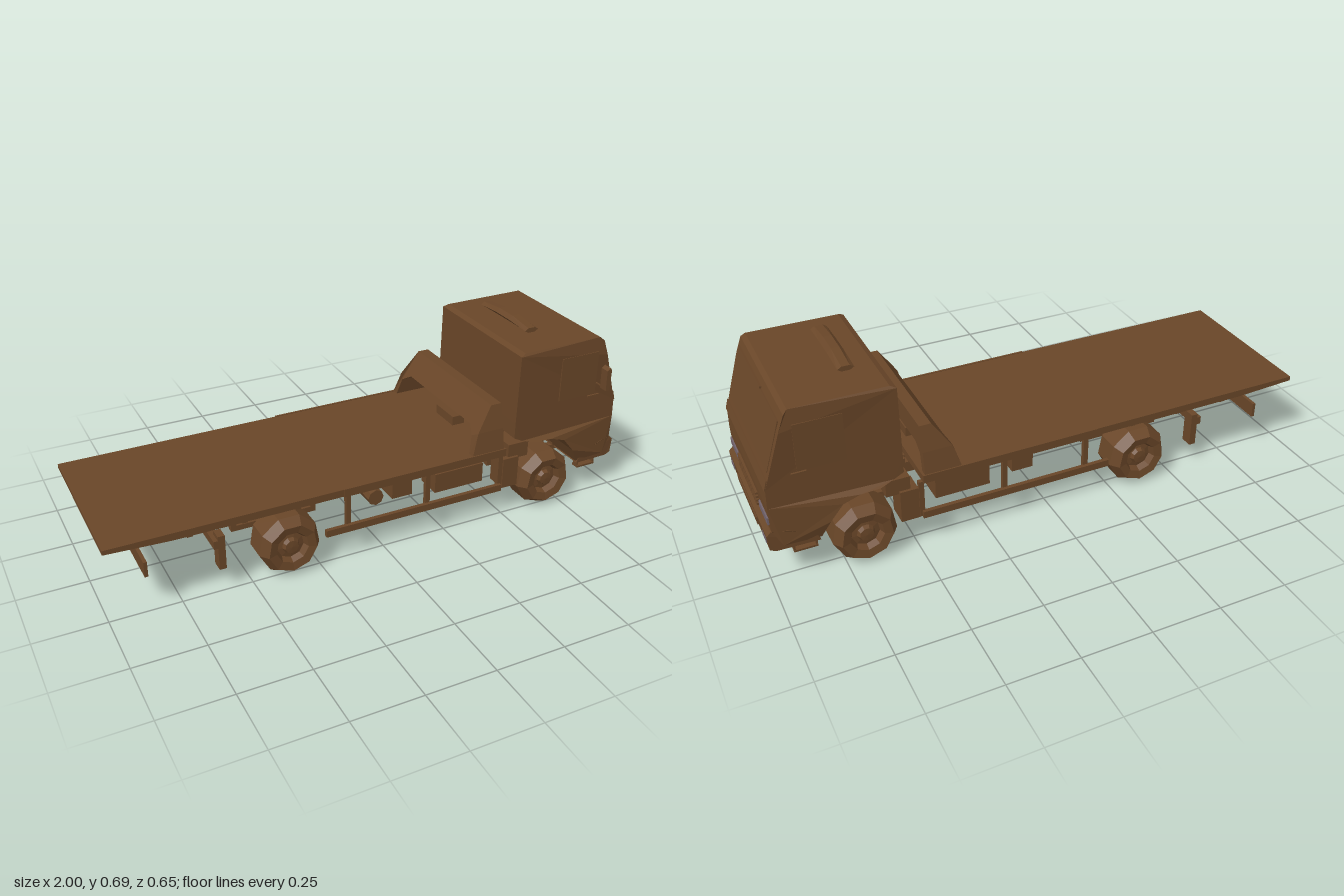
import * as THREE from 'three';

const mat = (name, color) => {
  const m = new THREE.MeshStandardMaterial({ color, flatShading: true });
  m.name = name;
  return m;
};

export function createModel() {
  const brown = mat('brown paint', 0x694628);
  const lampGrey = mat('lamp grey', 0x71636c);
  const root = new THREE.Group();
  root.name = 'flatbedTruck';
  const truck = new THREE.Group();
  truck.name = 'truckBody';
  truck.position.z = -0.02;
  root.add(truck);

  const add = (name, geo, m = brown) => {
    const mesh = new THREE.Mesh(geo, m);
    mesh.name = name;
    truck.add(mesh);
    return mesh;
  };
  // Box given by its limits on each axis
  const box = (name, x1, x2, y1, y2, z1, z2, m) => {
    const mesh = add(name, new THREE.BoxGeometry(x2 - x1, y2 - y1, z2 - z1), m);
    mesh.position.set((x1 + x2) / 2, (y1 + y2) / 2, (z1 + z2) / 2);
    return mesh;
  };
  const pair = (name, x1, x2, y1, y2, z1, z2, m) => {
    box(name + 'Left', x1, x2, y1, y2, z1, z2, m);
    box(name + 'Right', x1, x2, y1, y2, -z2, -z1, m);
  };
  // Thin strip lying along a sloping line in the x-y plane
  const strip = (name, [xa, ya], [xb, yb], z1, z2, t) => {
    const mesh = add(name, new THREE.BoxGeometry(t, Math.hypot(xb - xa, yb - ya), z2 - z1));
    mesh.position.set((xa + xb) / 2, (ya + yb) / 2, (z1 + z2) / 2);
    mesh.rotation.z = Math.atan2(xa - xb, yb - ya);
  };
  const shape = pts => new THREE.Shape(pts.map(p => new THREE.Vector2(...p)));
  // Side outline extruded evenly about the middle; the rule scales its width
  const profile = (name, pts, width, rule = () => 1) => {
    const g = new THREE.ExtrudeGeometry(shape(pts), { depth: width, bevelEnabled: false });
    g.translate(0, 0, -width / 2);
    const p = g.attributes.position;
    for (let i = 0; i < p.count; i++) p.setZ(i, p.getZ(i) * rule(p.getX(i), p.getY(i)));
    g.computeVertexNormals();
    return add(name, g);
  };

  // Cab shell: upper body, then lower body flared over the wheel arch
  profile('cabUpper', [
    [0.535, 0.37], [0.54, 0.632], [0.56, 0.641], [0.885, 0.643], [0.9, 0.63],
    [0.922, 0.57], [0.973, 0.405], [0.983, 0.37],
  ], 0.546, (x, y) => (x > 0.93 ? 0.97 : y > 0.64 ? 0.97 : 1));
  profile('cabLower', [
    [0.535, 0.37], [0.535, 0.31], [0.57, 0.292], [0.62, 0.283], [0.69, 0.28], [0.75, 0.26],
    [0.795, 0.205], [0.825, 0.145], [0.95, 0.15], [0.982, 0.21], [0.985, 0.3], [0.983, 0.37],
  ], 0.546, (x, y) => (x > 0.96 ? 0.97 : x > 0.6 && x < 0.8 && y < 0.36 ? 1.06 : 1));

  // Bumper
  profile('bumper', [
    [0.93, 0.205], [0.985, 0.21], [1.0, 0.195], [0.995, 0.14], [0.975, 0.13], [0.83, 0.135], [0.84, 0.16],
  ], 0.552, x => (x > 0.97 ? 0.96 : 1));
  strip('bumperInset', [0.998, 0.153], [1.0, 0.183], -0.135, 0.135, 0.006);

  // Windscreen, grille and lamps
  strip('windscreen', [0.966, 0.425], [0.913, 0.6], -0.25, 0.25, 0.005);
  strip('windscreenTrim', [0.914, 0.6], [0.912, 0.607], -0.04, 0.25, 0.008);
  strip('frontLedge', [0.974, 0.405], [0.984, 0.37], -0.265, 0.265, 0.006);
  for (let i = 0; i < 4; i++) {
    box('grilleSlat', 0.978, 0.992, 0.222 + i * 0.014, 0.23 + i * 0.014, -0.125, 0.125);
  }
  pair('headlamp', 0.981, 0.989, 0.231, 0.258, 0.147, 0.254, lampGrey);
  box('fogLampLeft', 0.993, 1.0, 0.156, 0.18, 0.2, 0.247, lampGrey);
  box('fogLampRight', 0.993, 1.0, 0.16, 0.178, -0.248, -0.2, lampGrey);

  // Door window frames and handles
  pair('doorWindow', 0.72, 0.88, 0.42, 0.59, 0.27, 0.275);
  pair('doorHandle', 0.85, 0.9, 0.41, 0.416, 0.27, 0.277);

  // Mirror on the model's left
  profile('mirror', [
    [0.874, 0.46], [0.89, 0.46], [0.892, 0.54], [0.886, 0.55], [0.872, 0.54],
  ], 0.034).position.z = 0.325;
  box('mirrorArm', 0.88, 0.884, 0.462, 0.466, 0.268, 0.31);

  // Roof light bar: flat six-sided bar that thins towards its ends
  const bar = new THREE.CylinderGeometry(0.028, 0.028, 0.297, 6, 3);
  bar.rotateX(Math.PI / 2);
  bar.rotateZ(Math.PI / 2);
  const bp = bar.attributes.position;
  for (let i = 0; i < bp.count; i++) {
    const end = Math.abs(bp.getZ(i)) > 0.1;
    if (!end) bp.setZ(i, Math.sign(bp.getZ(i)) * 0.042);
    bp.setY(i, bp.getY(i) * (end ? 0.36 : 0.58) - (end ? 0.006 : 0));
  }
  bar.computeVertexNormals();
  add('roofLightBar', bar).position.set(0.662, 0.674, 0);

  // Cab steps: thin loops under the doors
  for (const s of [1, -1]) {
    const z = s * 0.255;
    box('stepBar', 0.84, 0.92, 0.108, 0.115, z - 0.015, z + 0.015);
    for (const x of [0.84, 0.914]) box('stepLeg', x, x + 0.006, 0.112, 0.145, z - 0.012, z + 0.012);
  }

  // Flat bed with a tapered tail
  profile('bedDeck', [
    [-1, 0.295], [-1, 0.279], [-0.77, 0.268], [0.48, 0.268], [0.48, 0.295],
  ], 0.602);
  pair('bedSideRail', -0.17, 0.48, 0.267, 0.297, 0.297, 0.305);
  pair('bedRunner', -0.77, 0.47, 0.24, 0.27, 0.095, 0.135);
  for (let i = 0; i < 7; i++) {
    const x = -0.72 + i * 0.19;
    box('bedCrossbeam', x, x + 0.02, 0.25, 0.27, -0.28, 0.28);
  }

  // Headboard: tapered arch with a sloping back
  const arch = shape([
    [-0.302, 0.29], [-0.287, 0.375], [-0.264, 0.465], [0.264, 0.465], [0.287, 0.375], [0.302, 0.29],
    [0.275, 0.29], [0.26, 0.36], [0.22, 0.385], [-0.22, 0.385], [-0.26, 0.36], [-0.275, 0.29],
  ]);
  const head = new THREE.ExtrudeGeometry(arch, { depth: 1, bevelEnabled: false });
  head.rotateY(Math.PI / 2);
  const hp = head.attributes.position;
  for (let i = 0; i < hp.count; i++) {
    const back = 0.34 + Math.max(0, hp.getY(i) - 0.335) * 0.69;
    hp.setX(i, hp.getX(i) < 0.5 ? back : 0.472);
  }
  head.computeVertexNormals();
  add('headboard', head);
  box('winch', 0.4, 0.45, 0.295, 0.33, -0.06, 0.06);

  // Chassis rails, cross members and rear underrun plate
  pair('chassisRail', -0.85, 0.9, 0.2, 0.24, 0.1, 0.13);
  for (const x of [-0.83, -0.6, -0.36, -0.1, 0.15, 0.4, 0.85]) {
    box('chassisCrossMember', x - 0.015, x + 0.015, 0.205, 0.235, -0.11, 0.11);
  }
  box('rearUnderrunPlate', -0.87, -0.858, 0.142, 0.198, -0.28, 0.28);
  pair('underrunBracket', -0.86, -0.84, 0.18, 0.21, 0.1, 0.13);
  box('mudflapBeam', -0.63, -0.6, 0.17, 0.2, -0.27, 0.27);
  pair('mudflap', -0.615, -0.59, 0.085, 0.215, 0.225, 0.27);
  pair('rearArm', -0.66, -0.5, 0.19, 0.22, 0.14, 0.18);

  // Driveline and suspension
  box('engine', 0.5, 0.8, 0.13, 0.27, -0.1, 0.1);
  box('gearbox', 0.3, 0.5, 0.15, 0.22, -0.06, 0.06);
  const rod = (name, r, len, x, y, z) => {
    const mesh = add(name, new THREE.CylinderGeometry(r, r, len, 6));
    mesh.rotation.z = Math.PI / 2;
    mesh.position.set(x, y, z);
  };
  rod('driveShaft', 0.015, 0.68, -0.02, 0.15, 0);
  rod('bedRam', 0.02, 0.5, -0.1, 0.225, 0.05);
  for (const x of [0.68, -0.36]) {
    box('axle', x - 0.025, x + 0.025, 0.072, 0.122, -0.17, 0.17);
    pair('leafSpring', x - 0.16, x + 0.16, 0.125, 0.145, 0.105, 0.13);
    pair('springMount', x - 0.02, x + 0.02, 0.06, 0.2, 0.105, 0.13);
    for (const e of [-0.15, 0.15]) pair('springHanger', x + e - 0.01, x + e + 0.01, 0.13, 0.205, 0.105, 0.13);
  }
  const diff = add('differential', new THREE.OctahedronGeometry(0.055));
  diff.position.set(-0.36, 0.115, 0);

  // Tanks, boxes and side guards
  pair('sideTank', 0.22, 0.42, 0.15, 0.225, 0.15, 0.25);
  pair('batteryBox', 0.05, 0.13, 0.165, 0.225, 0.15, 0.24);
  const air = add('airTank', new THREE.CylinderGeometry(0.03, 0.03, 0.1, 8));
  air.rotation.x = Math.PI / 2;
  air.position.set(-0.02, 0.195, 0.2);
  pair('sideGuard', -0.23, 0.48, 0.112, 0.138, 0.275, 0.29);
  for (const x of [-0.15, 0.165, 0.47]) pair('guardPost', x, x + 0.018, 0.115, 0.255, 0.262, 0.278);

  // Guards and gear between cab and bed
  pair('rearFender', 0.49, 0.555, 0.115, 0.235, 0.2, 0.28);
  pair('fenderTop', 0.515, 0.6, 0.225, 0.285, 0.18, 0.27);
  pair('cabMount', 0.49, 0.53, 0.2, 0.275, 0.11, 0.155);
  box('airIntake', 0.5, 0.54, 0.22, 0.29, -0.09, 0.09);

  // Wheels: chunky faceted tyre with a sunken rim and raised hub
  const tyre = new THREE.LatheGeometry([
    [0, -0.06], [0.07, -0.06], [0.09, -0.073], [0.113, -0.045], [0.113, 0.04],
    [0.09, 0.076], [0.06, 0.07], [0.05, 0.047], [0.032, 0.05], [0.025, 0.064], [0, 0.066],
  ].map(p => new THREE.Vector2(...p)), 9, Math.PI / 9);
  tyre.rotateX(Math.PI / 2);
  tyre.rotateZ(Math.PI / 9);
  const lowest = tyre.attributes.position.array.reduce((m, v, i) => (i % 3 === 1 ? Math.min(m, v) : m), 0);
  for (const x of [0.68, -0.36]) {
    for (const s of [1, -1]) {
      const wheel = add((x > 0 ? 'front' : 'rear') + 'Wheel' + (s > 0 ? 'Left' : 'Right'), tyre);
      wheel.position.set(x, -lowest, s * 0.226);
      wheel.rotation.y = s > 0 ? 0 : Math.PI;
    }
  }
  return root;
}
